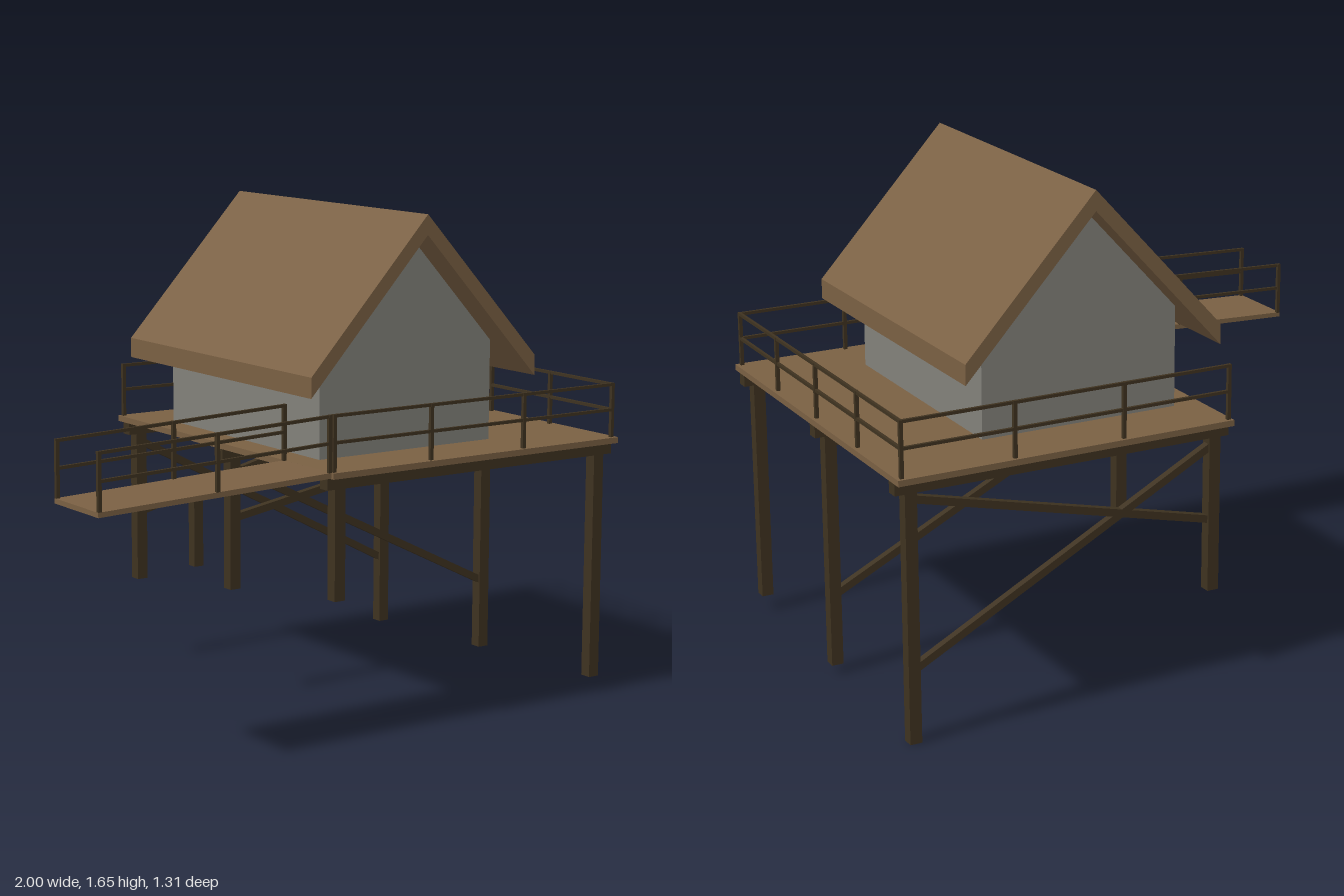
import * as THREE from 'three';

export function createModel() {
  const model = new THREE.Group();
  const mat = (name, color) => Object.assign(new THREE.MeshStandardMaterial({ color }), { name });
  const plank = mat('plank brown', 0x7a6043);
  const timber = mat('dark timber', 0x3e3220);
  const wall = mat('wall grey', 0x82817a);

  const add = (name, geometry, material, parent = model) => {
    const mesh = new THREE.Mesh(geometry, material);
    mesh.name = name;
    parent.add(mesh);
    return mesh;
  };
  const group = (name) => {
    const g = new THREE.Group();
    g.name = name;
    model.add(g);
    return g;
  };
  // Box given by its lower and upper corners
  const box = (name, a, b, material, parent) => {
    const mesh = add(name, new THREE.BoxGeometry(b[0] - a[0], b[1] - a[1], b[2] - a[2]), material, parent);
    mesh.position.set((a[0] + b[0]) / 2, (a[1] + b[1]) / 2, (a[2] + b[2]) / 2);
    return mesh;
  };
  // Square bar from one point to another
  const bar = (name, a, b, size, parent) => {
    const from = new THREE.Vector3(...a), to = new THREE.Vector3(...b);
    const mesh = add(name, new THREE.BoxGeometry(size, size, from.distanceTo(to)), timber, parent);
    mesh.position.copy(from).lerp(to, 0.5);
    mesh.lookAt(to);
    return mesh;
  };
  // Outline in x and y, extruded evenly about a middle z
  const slab = (name, points, depth, z, material) => {
    const shape = new THREE.Shape(points.map(([x, y]) => new THREE.Vector2(x, y)));
    const geometry = new THREE.ExtrudeGeometry(shape, { depth, bevelEnabled: false });
    return add(name, geometry.translate(0, 0, z - depth / 2), material);
  };

  // Deck
  box('deck', [-0.165, 0.86, -0.653], [1, 0.88, 0.653], plank);

  // Posts on sloping ground, with a beam across each pair
  const supports = group('supports');
  const rows = [[0.6, 0.46, 0.055], [0, 0.38, 0.03], [-0.6, 0.3, 0]];
  for (const [z, nearFoot, farFoot] of rows) {
    box('beam', [-0.165, 0.82, z - 0.02], [0.998, 0.86, z + 0.02], timber, supports);
    for (const [x, foot] of [[-0.115, nearFoot], [0.945, farFoot]])
      box('post', [x - 0.02, foot, z - 0.02], [x + 0.02, 0.82, z + 0.02], timber, supports);
    // Cross braces on the two taller rows
    if (z < 0.5) {
      bar('brace', [-0.115, 0.795, z], [0.945, farFoot + 0.24, z], 0.025, supports);
      bar('brace', [-0.115, nearFoot + 0.24, z], [0.945, 0.8, z], 0.025, supports);
    }
  }

  // Ramp and its post
  slab('ramp', [[-1, 0.834], [-0.163, 0.862], [-0.163, 0.88], [-1, 0.85]], 0.26, 0.511, plank);
  box('rampPost', [-0.596, 0.615, 0.495], [-0.564, 0.853, 0.527], timber);

  // Railing run: evenly spaced posts, a top rail and a middle rail
  const railing = (name, a, b, bays) => {
    const g = group(name);
    const at = (p, h) => [p[0], p[1] + h, p[2]];
    for (const h of [0.178, 0.093]) bar('rail', at(a, h), at(b, h), 0.01, g);
    for (let i = 0; i <= bays; i++) {
      const p = a.map((v, k) => v + (b[k] - v) * i / bays);
      box('railPost', [p[0] - 0.006, p[1], p[2] - 0.006], [p[0] + 0.006, p[1] + 0.183, p[2] + 0.006], timber, g);
    }
  };
  railing('frontRailing', [-0.152, 0.88, 0.637], [0.982, 0.88, 0.637], 3);
  railing('backRailing', [-0.152, 0.88, -0.637], [0.982, 0.88, -0.637], 3);
  railing('sideRailing', [0.982, 0.88, -0.637], [0.982, 0.88, 0.637], 4);
  for (const z of [0.385, 0.635]) railing('rampRailing', [-0.993, 0.849, z], [-0.168, 0.879, z], 2);

  // House with gable ends
  slab('house', [[-0.07, 0.88], [0.617, 0.88], [0.617, 1.213], [0.274, 1.585], [-0.07, 1.213]], 0.88, 0, wall);

  // Overhanging pitched roof
  slab('roof', [[-0.175, 1.1], [0.274, 1.587], [0.722, 1.1], [0.722, 1.167], [0.274, 1.653], [-0.175, 1.167]],
    1.09, 0, plank);

  return model;
}
